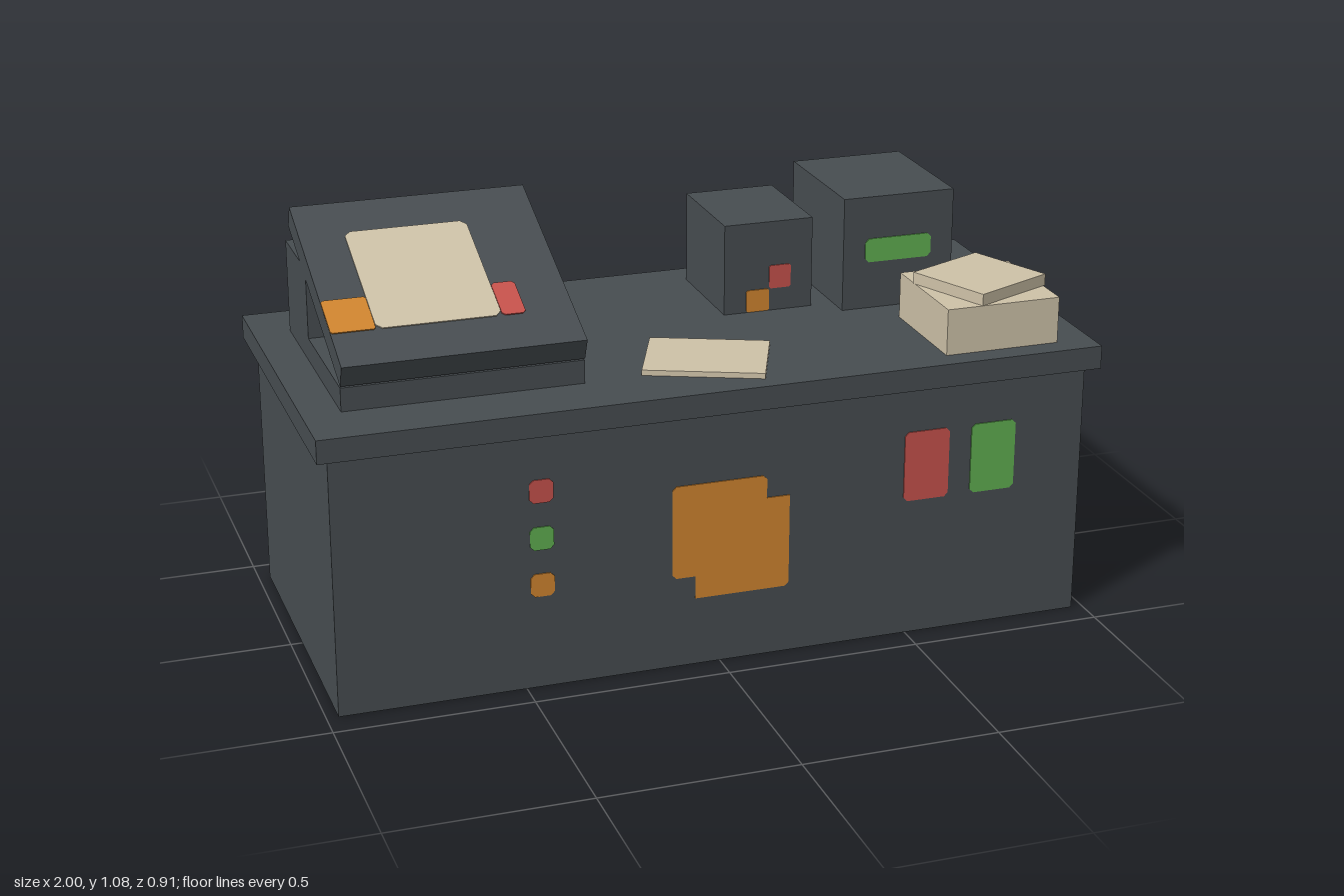
import * as THREE from 'three';

const mat = (name, color) => Object.assign(new THREE.MeshStandardMaterial({ color }), { name });

export function createModel() {
  const model = new THREE.Group();
  model.name = 'counterDesk';
  const dark = mat('charcoal', 0x474d51);
  const beige = mat('paper', 0xcec2a8);
  const orange = mat('orange', 0xd0852f);
  const red = mat('red', 0xc6524c);
  const green = mat('green', 0x5fae50);

  // box given by its min and max corners
  const box = (name, material, [x0, y0, z0], [x1, y1, z1], parent = model) => {
    const mesh = new THREE.Mesh(new THREE.BoxGeometry(x1 - x0, y1 - y0, z1 - z0), material);
    mesh.position.set((x0 + x1) / 2, (y0 + y1) / 2, (z0 + z1) / 2);
    mesh.name = name;
    parent.add(mesh);
    return mesh;
  };

  // thin plate facing +z, outline given by points, slightly sunk into its surface
  const T = 0.006;
  const plate = (name, material, points, z, parent = model) => {
    const shape = new THREE.Shape(points.map(([x, y]) => new THREE.Vector2(x, y)));
    const mesh = new THREE.Mesh(new THREE.ExtrudeGeometry(shape, { depth: T, bevelEnabled: false }), material);
    mesh.position.z = z - T / 2;
    mesh.name = name;
    parent.add(mesh);
    return mesh;
  };
  // rectangle with clipped corners
  const clipped = (x0, y0, x1, y1, c = 0.01) => [
    [x0 + c, y0], [x1 - c, y0], [x1, y0 + c], [x1, y1 - c],
    [x1 - c, y1], [x0 + c, y1], [x0, y1 - c], [x0, y0 + c],
  ];

  // desk
  box('deskBody', dark, [-0.97, 0, -0.425], [0.97, 0.67, 0.425]);
  box('deskTop', dark, [-1, 0.67, -0.455], [1, 0.73, 0.455]);

  // painted front of the desk
  const front = 0.425;
  [[red, 0.49], [green, 0.367], [orange, 0.244]].forEach(([m, y], i) =>
    plate('frontButton' + (i + 1), m, clipped(-0.486, y, -0.426, y + 0.06), front));
  plate('frontEmblem', orange, [
    [-0.065, 0.18], [0.17, 0.18], [0.18, 0.19], [0.18, 0.425], [0.12, 0.425], [0.12, 0.475],
    [0.11, 0.485], [-0.115, 0.485], [-0.125, 0.475], [-0.125, 0.25], [-0.115, 0.24], [-0.065, 0.24],
  ], front);
  plate('frontPanelRed', red, clipped(0.485, 0.365, 0.605, 0.55), front);
  plate('frontPanelGreen', green, clipped(0.665, 0.365, 0.785, 0.55), front);

  // two equipment boxes
  box('smallBox', dark, [0.18, 0.73, -0.365], [0.42, 0.97, -0.063]);
  plate('smallBoxRedMark', red, clipped(0.302, 0.79, 0.361, 0.852, 0.004), -0.063);
  plate('smallBoxOrangeMark', orange, clipped(0.24, 0.731, 0.302, 0.79, 0.004), -0.063);
  box('largeBox', dark, [0.482, 0.73, -0.365], [0.785, 1.03, 0]);
  plate('largeBoxGreenMark', green, clipped(0.542, 0.855, 0.724, 0.918), 0);

  // paper stack with a turned pad on top, and a loose sheet
  box('paperStack', beige, [0.603, 0.73, 0.092], [0.905, 0.85, 0.395]);
  const pad = box('topPad', beige, [0.638, 0.85, 0.122], [0.873, 0.88, 0.357]);
  pad.rotation.y = 0.42;
  const sheet = box('looseSheet', beige, [-0.124, 0.73, 0.121], [0.178, 0.744, 0.356]);
  sheet.rotation.y = -0.4;

  // sloped console: base plate, rear block and tilted screen slab
  box('consoleBase', dark, [-0.905, 0.73, -0.305], [-0.304, 0.79, 0.295]);
  box('consoleRearBlock', dark, [-0.905, 0.73, -0.305], [-0.304, 0.97, -0.065]);
  const screen = new THREE.Group();
  screen.name = 'consoleScreen';
  screen.position.set(-0.6045, 0.936, 0.031);
  screen.rotation.x = 0.39 - Math.PI / 2; // local z is the slab normal
  model.add(screen);
  box('screenSlab', dark, [-0.3005, -0.3, -0.03], [0.3005, 0.3, 0.03], screen);
  plate('screenPage', beige, clipped(-0.189, -0.181, 0.12, 0.181, 0.015), 0.03, screen);
  plate('screenOrangeTab', orange, clipped(-0.3, -0.181, -0.19, -0.063, 0.005), 0.03, screen);
  plate('screenRedTab', red, clipped(0.121, -0.181, 0.18, -0.063, 0.008), 0.03, screen);

  return model;
}
